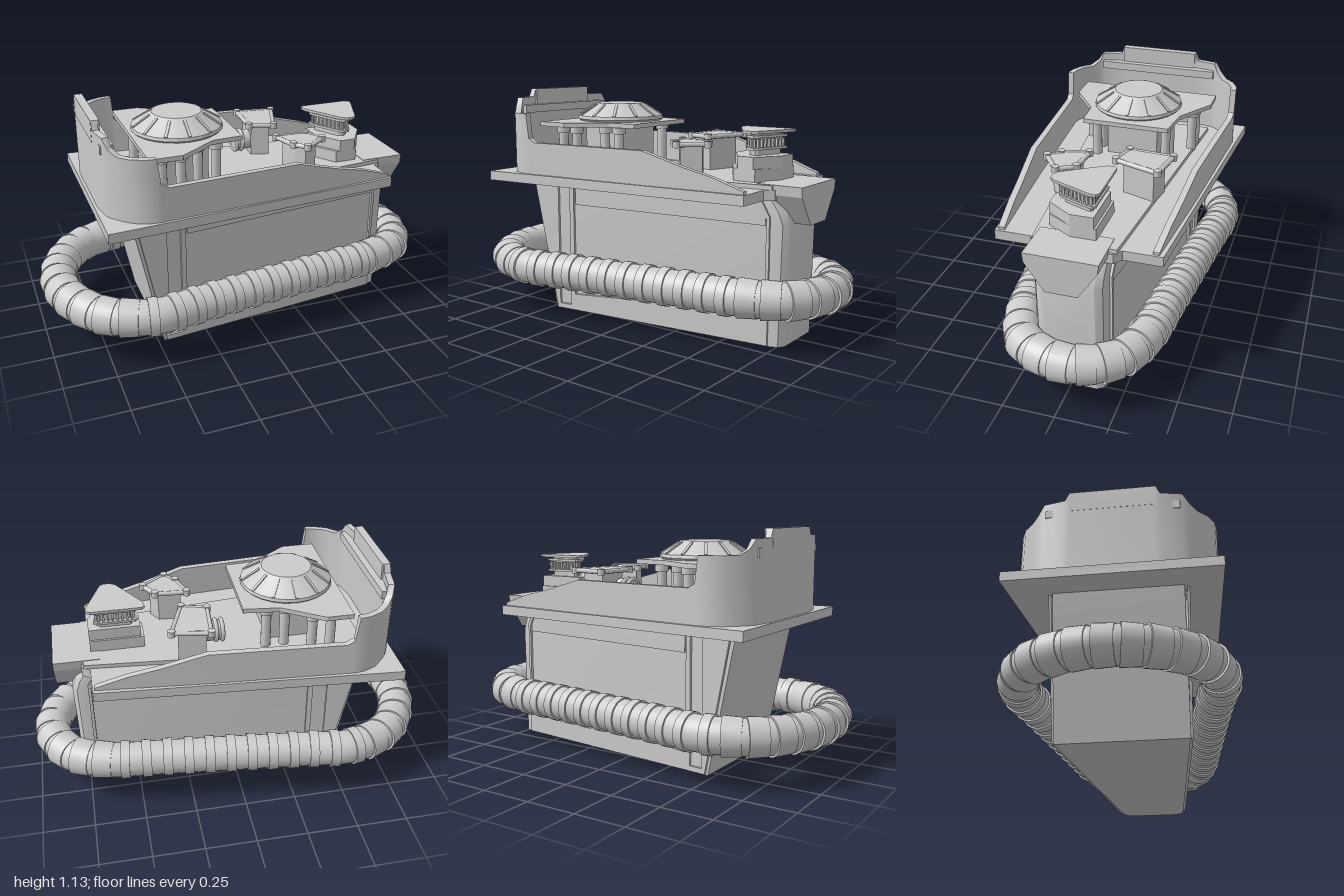
import * as THREE from 'three';
import { toCreasedNormals } from 'three/addons/utils/BufferGeometryUtils.js';

const mat = new THREE.MeshStandardMaterial({ color: 0xcccccc });

function add(parent, name, geo, x = 0, y = 0, z = 0) {
  const m = new THREE.Mesh(geo, mat);
  m.name = name;
  m.position.set(x, y, z);
  parent.add(m);
  return m;
}
const box = (w, h, d) => new THREE.BoxGeometry(w, h, d);
const cyl = (r, h, n = 20, r2 = r) => new THREE.CylinderGeometry(r, r2, h, n);
const shapeOf = pts => new THREE.Shape(pts.map(p => new THREE.Vector2(p[0], p[1])));

// Flat slab from a plan outline of [x, z] points
function slab(pts, y0, y1) {
  const g = new THREE.ExtrudeGeometry(shapeOf(pts.map(([x, z]) => [x, -z])), { depth: y1 - y0, bevelEnabled: false });
  return g.rotateX(-Math.PI / 2).translate(0, y0, 0);
}

// Closed skin through equal-length cross-section loops, capped at both ends
function loft(rows) {
  const n = rows[0].length, last = (rows.length - 1) * n, idx = [];
  for (let i = 0; i < rows.length - 1; i++)
    for (let j = 0; j < n; j++) {
      const a = i * n + j, b = i * n + (j + 1) % n;
      idx.push(a, b, b + n, a, b + n, a + n);
    }
  for (let k = 1; k < n - 1; k++) idx.push(0, k + 1, k, last, last + k, last + k + 1);
  const g = new THREE.BufferGeometry();
  g.setAttribute('position', new THREE.Float32BufferAttribute(rows.flat(2), 3));
  g.setIndex(idx);
  return toCreasedNormals(g, 0.5);
}

// Closed tube through [x, z] points at height y
function rim(pts, y, r) {
  const path = new THREE.CurvePath();
  pts.forEach((p, i) => {
    const q = pts[(i + 1) % pts.length];
    path.add(new THREE.LineCurve3(new THREE.Vector3(p[0], y, p[1]), new THREE.Vector3(q[0], y, q[1])));
  });
  return new THREE.TubeGeometry(path, 60, r, 8, true);
}
function shrink(pts, k) {
  const c = [0, 1].map(i => pts.reduce((s, p) => s + p[i], 0) / pts.length);
  return pts.map(p => p.map((v, i) => c[i] + (v - c[i]) * k));
}

function buildHull(root) {
  // Tapered hull with leaning rear, rounded front corners and a sloped front shoulder
  const side = x => Math.min(0.3, 0.2465 - 0.109 * x);
  const rows = [[0, -0.47, 0.775], [0.56, -0.583, 0.785], [0.62, -0.595, 0.765], [0.7, -0.61, 0.71]].map(([y, xb, xf]) => {
    const s = side(xf - 0.06);
    const half = [[xf, s - 0.045], [xf - 0.02, s - 0.013], [xf - 0.06, s], [-0.45, side(-0.45)], [xb, 0.3]];
    const near = half.map(([x, z]) => [x, y, z]);
    const far = half.map(([x, z]) => [x, y, -z]);
    return [...far, ...near.reverse()];
  });
  add(root, 'hull', loft(rows));

  // Raised side frames around recessed panels, one per side
  for (const s of [1, -1]) {
    const g = new THREE.Group();
    g.name = 'sidePanels';
    g.scale.z = s;
    root.add(g);
    const frame = shapeOf([[-0.46, 0.005], [0.715, 0.005], [0.715, 0.6], [0.66, 0.7], [-0.6, 0.7]]);
    const holes = [
      [[-0.445, 0.03], [-0.375, 0.03], [-0.375, 0.685], [-0.445, 0.685]],
      [[-0.35, 0.09], [0.1, 0.12], [0.7, 0.21], [0.7, 0.59], [0.65, 0.685], [-0.35, 0.685]],
    ];
    for (const h of holes) frame.holes.push(new THREE.Path(h.map(p => new THREE.Vector2(...p))));
    const a = Math.atan(0.109);
    add(g, 'sideFrame', new THREE.ExtrudeGeometry(frame, { depth: 0.012, bevelEnabled: false }), 0, 0, 0.2465).rotation.y = a;
    const band = shapeOf([[-0.34, 0.56], [0.695, 0.56], [0.695, 0.595], [0.65, 0.68], [-0.34, 0.68]]);
    add(g, 'upperBand', new THREE.ExtrudeGeometry(band, { depth: 0.007, bevelEnabled: false }), 0, 0, 0.2465).rotation.y = a;
  }

  // Wedge-shaped nose
  const nose = shapeOf([[-0.17, 0.745], [-0.165, 0.70], [-0.075, 0.565], [0.075, 0.565], [0.165, 0.70], [0.17, 0.745]]);
  add(root, 'nose', new THREE.ExtrudeGeometry(nose, { depth: 0.22, bevelEnabled: false }).rotateY(Math.PI / 2), 0.64);
}

function buildDeck(root) {
  add(root, 'deckPlate', slab([[-0.745, -0.51], [0.69, -0.4], [0.69, -0.22], [0.73, -0.19], [0.73, 0.17],
    [0.69, 0.2], [0.69, 0.37], [-0.745, 0.485]], 0.675, 0.722));
  add(root, 'raisedDeck', slab([[-0.62, -0.32], [0.72, -0.205], [0.72, 0.18], [-0.62, 0.31]], 0.72, 0.742));

  // Rear-wrapping wall: [x, z, height] along one half, mirrored for the other
  const half = [[0.68, 0.368, 0.735], [0.53, 0.382, 0.785], [0.38, 0.396, 0.82], [0.17, 0.415, 0.88], [-0.46, 0.46, 0.88],
    [-0.495, 0.463, 0.9], [-0.51, 0.464, 1.02], [-0.56, 0.458, 1.02], [-0.62, 0.43, 1.02], [-0.665, 0.385, 1.02],
    [-0.695, 0.35, 1.045], [-0.712, 0.32, 1.088], [-0.73, 0.22, 1.09], [-0.731, 0.2, 1.13]];
  const path = [...half, ...half.map(([x, z, h]) => [x, -z, h]).reverse()];
  const rows = path.map(([x, z, h], i) => {
    const p = path[Math.max(i - 1, 0)], q = path[Math.min(i + 1, path.length - 1)];
    const dx = q[0] - p[0], dz = q[1] - p[1], l = Math.hypot(dx, dz), t = 0.03;
    const ix = x + dz / l * -t, iz = z + dx / l * t;
    return [[x, 0.71, z], [x, h, z], [ix > x - 0.02 ? ix : 2 * x - ix, h, iz], [ix > x - 0.02 ? ix : 2 * x - ix, 0.71, iz]];
  });
  add(root, 'wall', loft(rows), 0, 0, -0.012);
  add(root, 'rearLip', box(0.04, 0.1, 0.4), -0.712, 1.08, -0.012);
  add(root, 'rearRail', box(0.06, 0.04, 0.62), -0.69, 1.03, -0.012);
}

function buildDome(root) {
  const g = new THREE.Group();
  g.name = 'domeTower';
  root.add(g);
  add(g, 'platform', slab([[-0.52, -0.37], [-0.39, -0.37], [-0.2, -0.25], [-0.03, -0.23], [-0.03, 0.2],
    [-0.18, 0.21], [-0.36, 0.34], [-0.52, 0.34]], 0.953, 0.975));
  const profile = [[0, 0.96], [0.2, 0.965], [0.222, 0.985], [0.218, 1.0], [0.13, 1.055], [0.12, 1.063], [0, 1.063]];
  const dome = new THREE.LatheGeometry(profile.map(p => new THREE.Vector2(...p)), 24);
  add(g, 'dome', toCreasedNormals(dome, 0.2), -0.285, 0, -0.013);
  // Raised ribs on the dome slope
  for (let i = 0; i < 12; i++) {
    const pivot = new THREE.Group();
    pivot.name = 'domeRib';
    pivot.position.set(-0.285, 0, -0.013);
    pivot.rotation.y = i * Math.PI / 6;
    g.add(pivot);
    add(pivot, 'rib', box(0.1, 0.008, 0.014), 0.173, 1.029, 0).rotation.z = -0.56;
  }
  // Core and supporting columns
  add(g, 'core', box(0.24, 0.23, 0.26), -0.29, 0.845, -0.013);
  for (const x of [-0.44, -0.35, -0.24, -0.15])
    for (const s of [1, -1]) {
      const z = -0.013 + s * (x < -0.3 ? 0.27 : 0.18);
      add(g, 'column', cyl(0.024, 0.23, 14), x, 0.845, z);
      add(g, 'columnCap', cyl(0.032, 0.03, 14), x, 0.935, z);
    }
}

function buildHatch(root, pts, yTop) {
  const g = new THREE.Group();
  g.name = 'hatch';
  root.add(g);
  add(g, 'hatchBase', slab(shrink(pts, 0.72), 0.73, yTop - 0.02));
  add(g, 'hatchLid', slab(pts, yTop - 0.02, yTop - 0.004));
  add(g, 'hatchRim', rim(pts, yTop - 0.012, 0.012));
  for (const [x, z] of pts) add(g, 'cornerKnob', cyl(0.018, 0.03, 14), x, yTop - 0.012, z);
}

function buildFittings(root) {
  buildHatch(root, [[0.13, -0.3], [0.31, -0.27], [0.235, -0.05], [0.115, -0.085]], 0.922);
  buildHatch(root, [[0.185, 0.095], [0.34, 0.105], [0.39, 0.19], [0.275, 0.275], [0.225, 0.22]], 0.915);
  // Horizontal port beside the larger hatch
  add(root, 'port', cyl(0.05, 0.08), 0.09, 0.82, -0.14).rotation.z = Math.PI / 2;
  for (const x of [0.055, 0.085]) add(root, 'portRing', new THREE.TorusGeometry(0.05, 0.01, 8, 24), x, 0.82, -0.14).rotation.y = Math.PI / 2;

  // Front turret: base, ribbed neck and a thin three-cornered cap
  const cap = [[0.41, -0.1], [0.425, -0.115], [0.665, -0.115], [0.685, -0.1], [0.68, -0.07],
    [0.605, 0.12], [0.585, 0.135], [0.555, 0.135], [0.53, 0.12], [0.415, -0.065]];
  add(root, 'turretBase', slab([[0.42, -0.1], [0.68, -0.1], [0.68, 0.02], [0.61, 0.14], [0.5, 0.14], [0.42, 0.02]], 0.73, 0.8));
  add(root, 'turretBlock', slab([[0.435, -0.09], [0.68, -0.09], [0.68, 0.02], [0.6, 0.14], [0.52, 0.14], [0.435, 0.02]], 0.8, 0.855));
  add(root, 'turretNeck', slab(shrink(cap, 0.58), 0.85, 0.96));
  const ribs = shrink(cap, 0.65);
  ribs.forEach((p, i) => {
    const q = ribs[(i + 1) % ribs.length];
    const n = Math.max(1, Math.round(Math.hypot(q[0] - p[0], q[1] - p[1]) / 0.022));
    for (let k = 0; k < n; k++)
      add(root, 'neckRib', box(0.01, 0.04, 0.01), p[0] + (q[0] - p[0]) * k / n, 0.91, p[1] + (q[1] - p[1]) * k / n);
  });
  for (const y of [0.88, 0.935]) add(root, 'neckCollar', slab(shrink(cap, 0.76), y, y + 0.012));
  add(root, 'turretCap', slab(cap, 0.957, 0.97));
}

function buildHose(root) {
  const g = new THREE.Group();
  g.name = 'hose';
  root.add(g);
  const pts = [[-0.908, 0], [-0.87, -0.19], [-0.75, -0.36], [-0.55, -0.443], [-0.3, -0.42], [0, -0.386], [0.35, -0.348],
    [0.66, -0.31], [0.82, -0.235], [0.9, -0.1], [0.905, 0.03], [0.83, 0.19], [0.66, 0.272], [0.35, 0.318], [0, 0.363],
    [-0.3, 0.405], [-0.55, 0.44], [-0.75, 0.36], [-0.87, 0.19]];
  const path = new THREE.CatmullRomCurve3(pts.map(([x, z]) => new THREE.Vector3(x, 0.243, z)), true);
  add(g, 'hoseTube', new THREE.TubeGeometry(path, 160, 0.084, 24, true));
  // Narrow rings on the straight runs, overlapping tapered sleeves round the bends
  const count = 44, up = new THREE.Vector3(0, 1, 0);
  for (let i = 0; i < count; i++) {
    const p = path.getPointAt(i / count), bend = p.x < -0.56 || p.x > 0.6;
    const m = add(g, 'hoseRing', cyl(0.092, bend ? 0.09 : 0.045, 28, bend ? 0.087 : 0.092), p.x, p.y, p.z);
    m.quaternion.setFromUnitVectors(up, path.getTangentAt(i / count));
  }
}

export function createModel() {
  const root = new THREE.Group();
  root.name = 'model';
  buildHull(root);
  buildDeck(root);
  buildDome(root);
  buildFittings(root);
  buildHose(root);
  return root;
}
